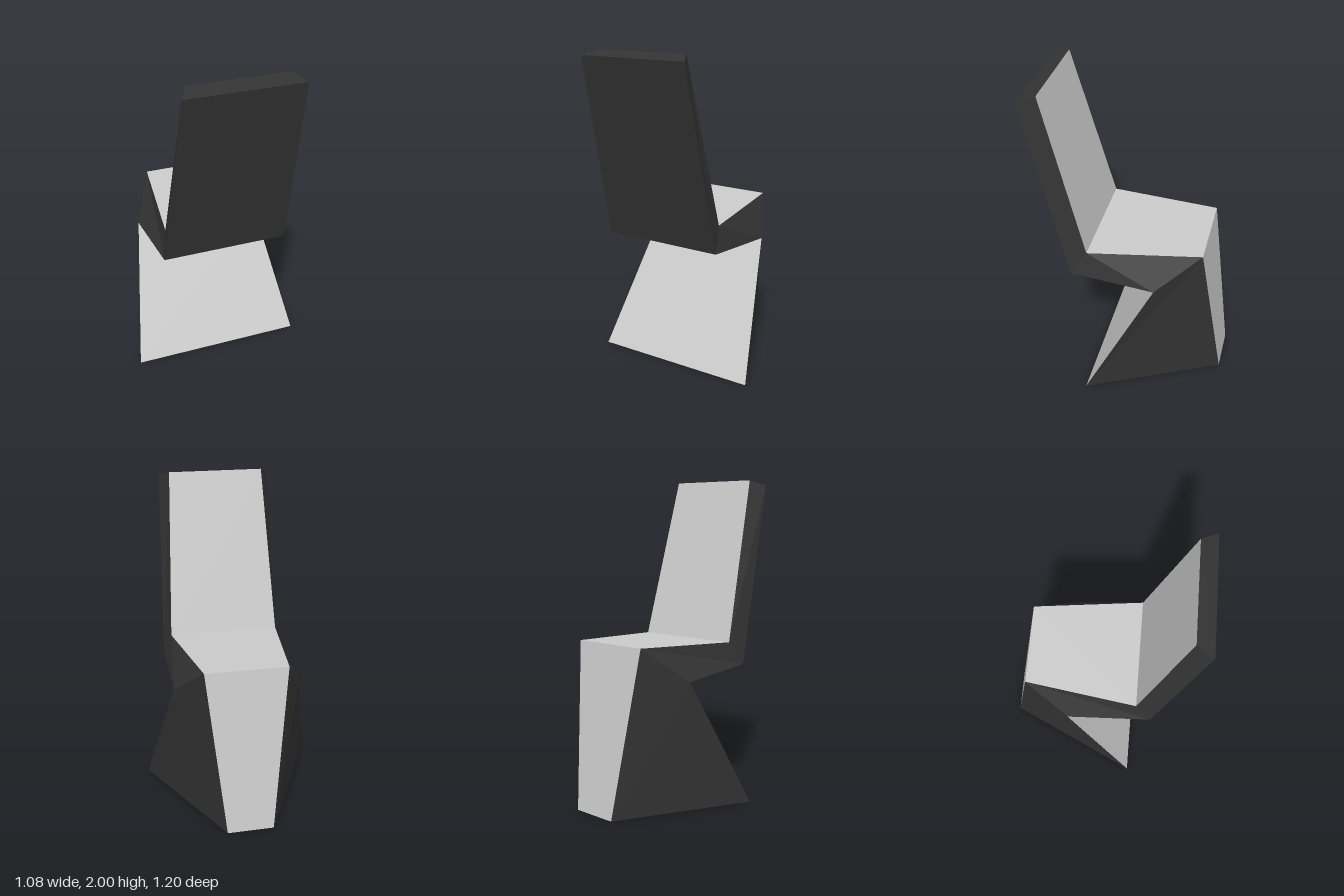
import * as THREE from 'three';

// Stations along the folded slab: [half width, y, z] on the sitting side and the under side
const upper = [[0.145, 0, -0.6], [0.255, 1.02, -0.46], [0.35, 0.99, 0.24], [0.3, 2, 0.5]];
const under = [[0.54, 0, 0.225], [0.4, 0.805, -0.19], [0.39, 0.845, 0.335], [0.355, 1.97, 0.6]];

const mirror = ([x, y, z]) => [-x, y, z];

// Flat mesh from four-cornered faces
function panel(name, material, quads) {
  const positions = quads.flatMap(([a, b, c, d]) => [a, b, d, b, c, d].flat());
  const geometry = new THREE.BufferGeometry();
  geometry.setAttribute('position', new THREE.Float32BufferAttribute(positions, 3));
  geometry.computeVertexNormals();
  const mesh = new THREE.Mesh(geometry, material);
  mesh.name = name;
  return mesh;
}

// Face spanning the full width between two stations
const span = (p, q) => [mirror(p), mirror(q), q, p];

export function createModel() {
  const light = new THREE.MeshStandardMaterial({ color: 0xcccccc });
  light.name = 'lightGrey';
  const dark = new THREE.MeshStandardMaterial({ color: 0x333333 });
  dark.name = 'charcoal';

  const chair = new THREE.Group();
  chair.name = 'chair';

  ['pedestal', 'seat', 'backrest'].forEach((name, i) => {
    const part = new THREE.Group();
    part.name = name;
    const [p, q, p2, q2] = [upper[i], upper[i + 1], under[i], under[i + 1]];

    // Broad faces: all pale except the rear of the backrest
    part.add(panel(name + 'Inner', light, [span(p, q)]));
    part.add(panel(name + 'Outer', i === 2 ? dark : light, [span(q2, p2)]));

    // Side faces, mirrored left and right
    const side = [p, q, q2, p2];
    const [a, b, c, d] = side.map(mirror);
    part.add(panel(name + 'Sides', dark, [side, [b, a, d, c]]));
    chair.add(part);
  });

  // End caps
  chair.add(panel('baseUnderside', dark, [span(under[0], upper[0])]));
  chair.add(panel('backrestTop', dark, [span(upper[3], under[3])]));
  return chair;
}
